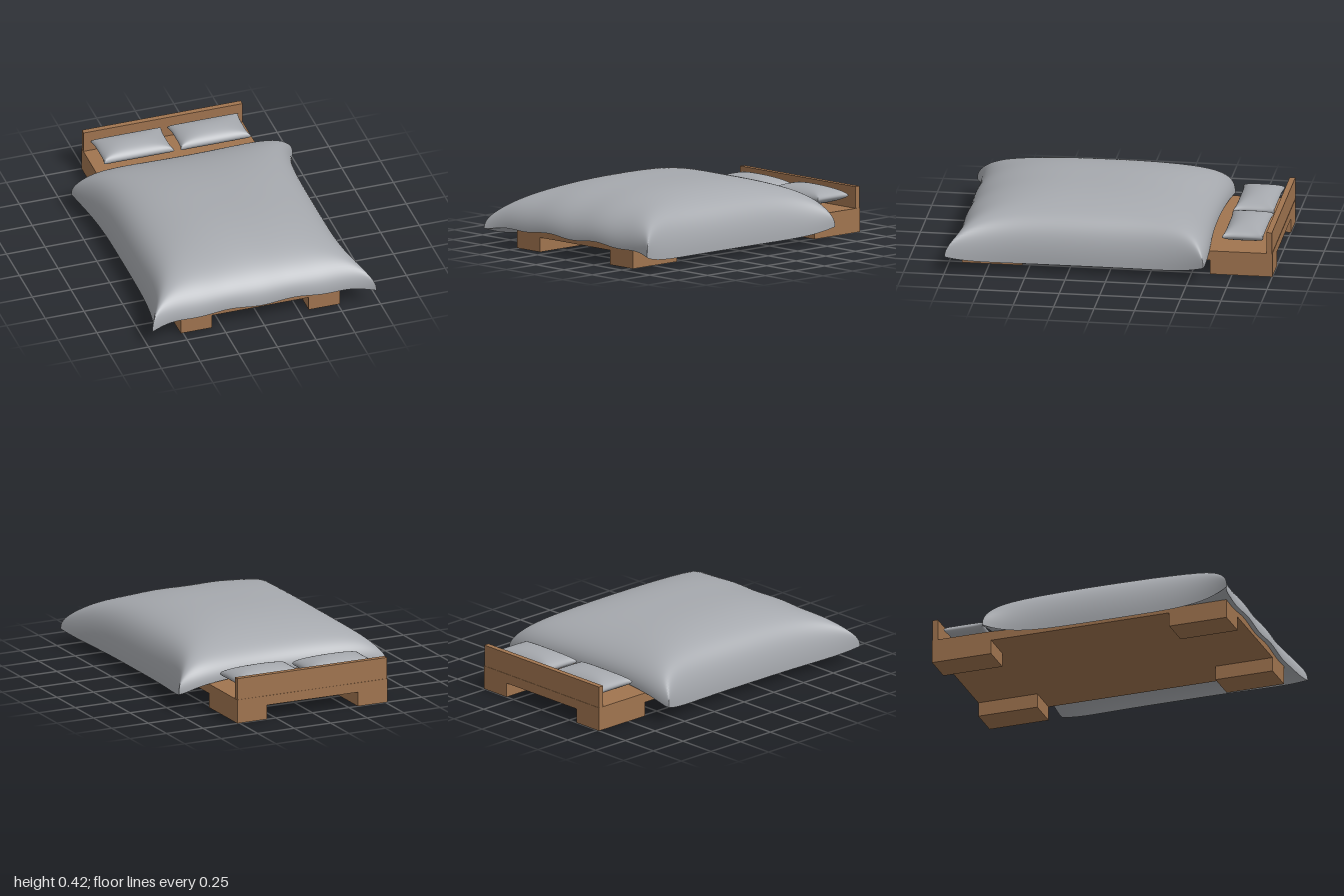
import * as THREE from 'three';
import { mergeGeometries, mergeVertices } from 'three/addons/utils/BufferGeometryUtils.js';

const wood = new THREE.MeshStandardMaterial({ color: 0xa0744f });
const fabric = new THREE.MeshStandardMaterial({ color: 0xa6a9ae });

// Box given by its min and max along each axis
function box(name, [x0, x1], [y0, y1], [z0, z1]) {
  const mesh = new THREE.Mesh(new THREE.BoxGeometry(x1 - x0, y1 - y0, z1 - z0), wood);
  mesh.name = name;
  mesh.position.set((x0 + x1) / 2, (y0 + y1) / 2, (z0 + z1) / 2);
  return mesh;
}

// One sheet of cloth: point(u, v) with u, v in -1..1, sampled densely near the hem
function sheet(point, n, up) {
  const pos = [], index = [];
  const s = (i) => Math.sin((i / n - 0.5) * Math.PI);
  for (let j = 0; j <= n; j++)
    for (let i = 0; i <= n; i++) pos.push(...point(s(i), s(j)));
  for (let j = 0; j < n; j++)
    for (let i = 0; i < n; i++) {
      const a = j * (n + 1) + i, b = a + 1, c = a + n + 1, d = c + 1;
      if (up) index.push(a, c, b, b, c, d);
      else index.push(a, b, c, b, d, c);
    }
  const geo = new THREE.BufferGeometry();
  geo.setAttribute('position', new THREE.Float32BufferAttribute(pos, 3));
  geo.setIndex(index);
  return geo;
}

// Two sheets welded along a shared hem
function cushion(name, top, bottom, n) {
  const geo = mergeVertices(mergeGeometries([sheet(top, n, true), sheet(bottom, n, false)]), 1e-6);
  geo.computeVertexNormals();
  const mesh = new THREE.Mesh(geo, fabric);
  mesh.name = name;
  return mesh;
}

// Inflation profile: 1 in the middle, 0 at the hem
const puff = (t, p, q) => Math.pow(Math.max(0, 1 - Math.pow(Math.abs(t), p)), q);

// Soft minimum of two profiles keeps the corners full
const blend = (a, b) => (a * b) / Math.pow(a ** 4 + b ** 4 - (a * b) ** 4 + 1e-12, 0.25);

function duvet() {
  // Plan outline with corners pulled outwards
  const plan = (u, v) => {
    const x = u * (0.63 + (v > 0 ? 0.095 : 0.085) * v ** 4);
    const front = 0.95 + 0.05 * u ** 8;
    const back = 0.59 + 0.05 * u * u - 0.04 * u ** 6;
    const mid = 0.18;
    return [x, v > 0 ? mid + v * (front - mid) : mid + v * (back + mid)];
  };
  // Hem height: drooping at the sides, resting on the base at the ends
  const hem = (u, v) => {
    const side = 0.052 + 0.053 * v ** 6;
    const front = 0.125 - 0.008 * Math.cos(u * 11), back = 0.165;
    const end = THREE.MathUtils.lerp(back, front, THREE.MathUtils.smoothstep(v, -1, 1));
    const w = u ** 14;
    return side * w + (0.105 + (end - 0.105) * (1 - u ** 4)) * (1 - w);
  };
  const top = (u, v) => {
    const [x, z] = plan(u, v), h = hem(u, v);
    return [x, h + (0.422 - h) * blend(puff(u, 3, 0.4), puff(v, 2.6, 0.46)), z];
  };
  const bottom = (u, v) => {
    const [x, z] = plan(u, v);
    return [x, hem(u, v), z];
  };
  return cushion('duvet', top, bottom, 72);
}

function pillow(side) {
  const face = (height) => (u, v) => [
    u * (0.217 + 0.011 * v ** 4),
    height * blend(puff(u, 2.6, 0.55), puff(v, 2.1, 0.6)),
    v * (0.12 + 0.008 * u ** 6),
  ];
  const mesh = cushion(side > 0 ? 'leftPillow' : 'rightPillow', face(0.06), face(-0.055), 32);
  mesh.position.set(side * 0.248, 0.23, -0.811);
  return mesh;
}

export function createModel() {
  const bed = new THREE.Group();
  bed.name = 'bed';

  // Wooden frame
  bed.add(box('base', [-0.515, 0.515], [0.09, 0.15], [-1, 0.92]));
  bed.add(box('headboard', [-0.513, 0.513], [0.15, 0.285], [-0.998, -0.963]));
  for (const side of [-1, 1]) {
    const x = side > 0 ? [0.312, 0.515] : [-0.515, -0.312];
    bed.add(box('frontFoot', x, [0, 0.09], [0.547, 0.92]));
    bed.add(box('backFoot', x, [0, 0.09], [-1, -0.615]));
    bed.add(pillow(side));
  }

  // Bedding
  bed.add(duvet());
  return bed;
}
